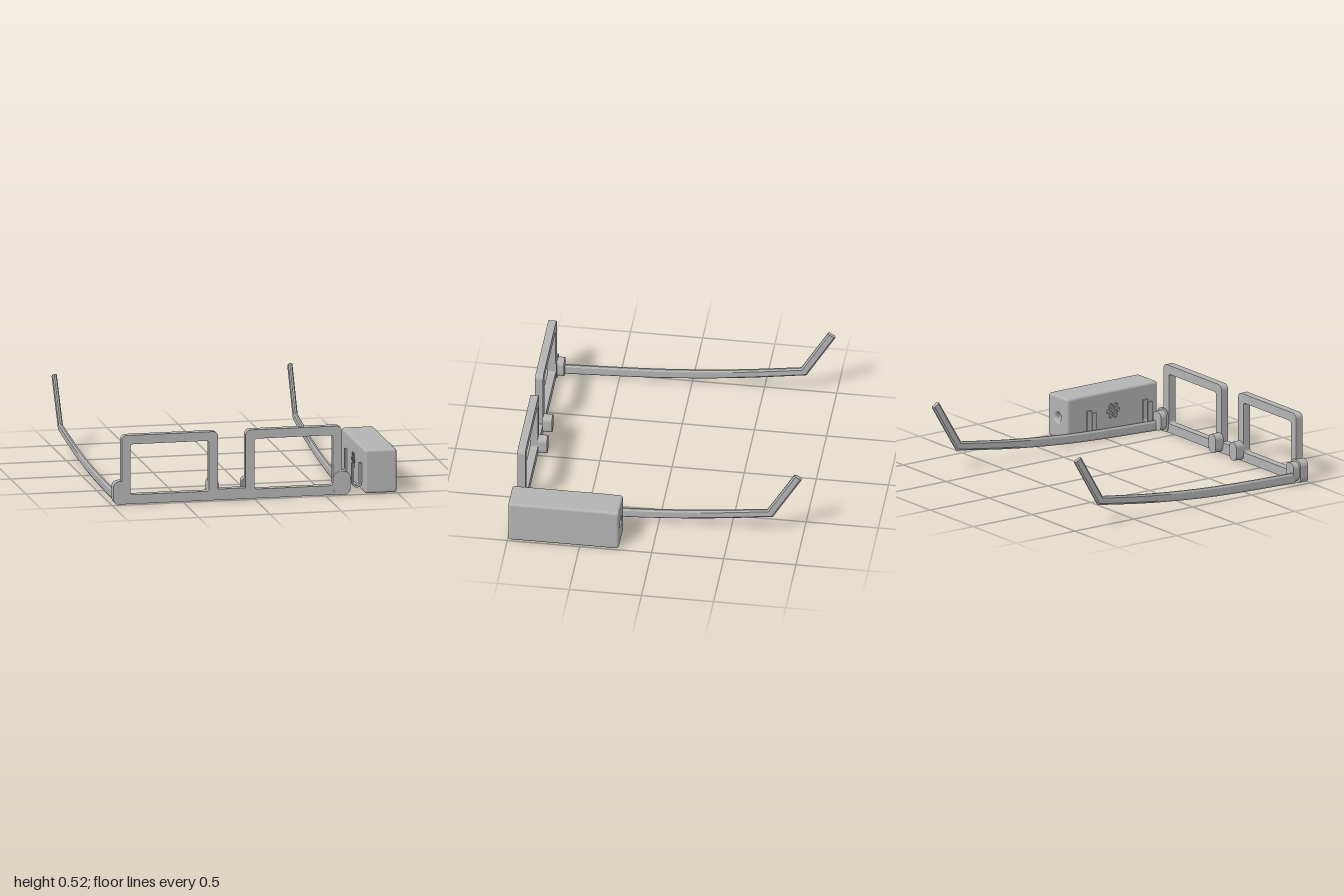
import * as THREE from 'three';
import { RoundedBoxGeometry } from 'three/addons/geometries/RoundedBoxGeometry.js';

const grey = new THREE.MeshStandardMaterial({ color: 0xb4b4b4 });
grey.name = 'grey plastic';

const CENTRE = -0.158; // middle of the spectacles; the module sits beside them

function add(parent, name, geometry, x = 0, y = 0, z = 0) {
  const mesh = new THREE.Mesh(geometry, grey);
  mesh.name = name;
  mesh.position.set(x, y, z);
  parent.add(mesh);
  return mesh;
}

// Rounded rectangle outline, usable as a shape or a hole
function roundRect(path, x0, y0, x1, y1, r) {
  path.moveTo(x0 + r, y0);
  path.lineTo(x1 - r, y0);
  path.absarc(x1 - r, y0 + r, r, -Math.PI / 2, 0);
  path.lineTo(x1, y1 - r);
  path.absarc(x1 - r, y1 - r, r, 0, Math.PI / 2);
  path.lineTo(x0 + r, y1);
  path.absarc(x0 + r, y1 - r, r, Math.PI / 2, Math.PI);
  path.lineTo(x0, y0 + r);
  path.absarc(x0 + r, y0 + r, r, Math.PI, Math.PI * 1.5);
  return path;
}

// Rounded block extruded along z, centred in x and y
function block(w, h, d, r) {
  const s = roundRect(new THREE.Shape(), -w / 2, -h / 2, w / 2, h / 2, r);
  return new THREE.ExtrudeGeometry(s, { depth: d, bevelEnabled: false, curveSegments: 6 });
}

// Both rims and the low bridge in one outline, x measured from the centre
function frontFrame() {
  const s = new THREE.Shape();
  const [o, i, top, r] = [0.772, 0.097, 0.487, 0.035];
  s.moveTo(-o, 0.005);
  s.lineTo(o, 0.005);
  s.lineTo(o, top - r);
  s.absarc(o - r, top - r, r, 0, Math.PI / 2);
  s.lineTo(i + r, top);
  s.absarc(i + r, top - r, r, Math.PI / 2, Math.PI);
  s.lineTo(i, 0.082);
  s.lineTo(-i, 0.082);
  s.lineTo(-i, top - r);
  s.absarc(-i - r, top - r, r, 0, Math.PI / 2);
  s.lineTo(-o + r, top);
  s.absarc(-o + r, top - r, r, Math.PI / 2, Math.PI);
  s.lineTo(-o, 0.005);
  for (const x of [-0.71, 0.16])
    s.holes.push(roundRect(new THREE.Path(), x, 0.07, x + 0.55, 0.424, 0.018));
  return new THREE.ExtrudeGeometry(s, { depth: 0.055, bevelEnabled: false, curveSegments: 6 });
}

// Temple arm: an eight-sided section swept along a rising curve with a sharp ear bend
function templeArm(side) {
  const curve = new THREE.SplineCurve([[0.9, 0.045], [0.23, 0.068], [-0.3, 0.113], [-0.775, 0.178]]
    .map(p => new THREE.Vector2(...p)));
  const path = [...curve.getPoints(12), new THREE.Vector2(-0.968, 0.503)];
  const last = path.length - 1;
  const section = [[-0.4, -1], [0.4, -1], [1, -0.62], [1, 0.62], [0.4, 1], [-0.4, 1], [-1, 0.62], [-1, -0.62]];
  const n = section.length;
  const pos = [], index = [];
  path.forEach((p, k) => {
    const a = p.clone().sub(path[Math.max(k - 1, 0)]).normalize();
    const b = path[Math.min(k + 1, last)].clone().sub(p).normalize();
    const t = a.clone().add(b).normalize();
    const miter = k > 0 && k < last ? 1 / Math.max(0.5, t.dot(a)) : 1;
    const h = (0.037 - 0.007 * k / last) * miter;
    const x = side * (0.799 + 0.028 * (0.9 - p.x) / 1.87);
    for (const [u, v] of section)
      pos.push(x + u * 0.0145, p.y - t.x * v * h, p.x + t.y * v * h);
  });
  for (let k = 0; k < last; k++)
    for (let j = 0; j < n; j++) {
      const a = k * n + j, b = k * n + (j + 1) % n;
      index.push(a, a + n, b, b, a + n, b + n);
    }
  for (let j = 1; j < n - 1; j++) {
    index.push(0, j, j + 1);
    index.push(last * n, last * n + j + 1, last * n + j);
  }
  const g = new THREE.BufferGeometry();
  g.setAttribute('position', new THREE.Float32BufferAttribute(pos, 3));
  g.setIndex(index);
  const flat = g.toNonIndexed();
  flat.computeVertexNormals();
  return flat;
}

// U-shaped spring clip seen along z
function clip() {
  const s = new THREE.Shape();
  s.moveTo(-0.034, 0.2);
  s.lineTo(-0.034, 0.065);
  s.absarc(0, 0.065, 0.034, Math.PI, Math.PI * 2);
  s.lineTo(0.034, 0.2);
  s.lineTo(0.02, 0.2);
  s.lineTo(0.02, 0.065);
  s.absarc(0, 0.065, 0.02, Math.PI * 2, Math.PI, true);
  s.lineTo(-0.02, 0.2);
  return new THREE.ExtrudeGeometry(s, { depth: 0.036, bevelEnabled: false, curveSegments: 12 });
}

export function createModel() {
  const model = new THREE.Group();
  model.name = 'glasses with side module';

  const glasses = new THREE.Group();
  glasses.name = 'glasses';
  glasses.position.x = CENTRE;
  model.add(glasses);
  add(glasses, 'frontFrame', frontFrame(), 0, 0, 0.93);

  for (const side of [-1, 1]) {
    const tag = side > 0 ? 'left' : 'right';
    add(glasses, tag + 'EndPiece', block(0.118, 0.163, 0.064, 0.042), side * 0.773, 0.0845, 0.924);
    add(glasses, tag + 'Hinge', block(0.09, 0.135, 0.055, 0.04), side * 0.773, 0.0845, 0.875);
    add(glasses, tag + 'NosePad', block(0.08, 0.13, 0.068, 0.035), side * 0.121, 0.079, 0.867);
    add(glasses, tag + 'Temple', templeArm(side));
  }

  // Side module: solid front body, and a rear shell with a round opening
  const box = new THREE.Group();
  box.name = 'sideModule';
  model.add(box);
  const [cx, cy, w, h, bevel] = [0.886, 0.158, 0.224, 0.306, 0.018];
  add(box, 'moduleBody', new RoundedBoxGeometry(w, h, 0.71, 4, bevel), cx, cy, 0.641);
  const shell = roundRect(new THREE.Shape(), -w / 2 + bevel, -h / 2 + bevel, w / 2 - bevel, h / 2 - bevel, 0.004);
  shell.holes.push(new THREE.Path().absarc(0, 0, 0.044 + 0.005, 0, Math.PI * 2));
  const shellGeometry = new THREE.ExtrudeGeometry(shell, {
    depth: 0.2, bevelSize: bevel, bevelThickness: bevel, bevelSegments: 4, curveSegments: 16,
  });
  add(box, 'moduleRearShell', shellGeometry, cx, cy, 0.229 + bevel);

  for (const z of [0.39, 0.865]) add(box, 'clip', clip(), 0.738, 0, z);

  // Small raised details: switch slot underneath, vent ring on the inner side
  add(box, 'switchSlot', new RoundedBoxGeometry(0.035, 0.006, 0.12, 2, 0.002), 0.93, 0.005, 0.53);
  const vent = new THREE.Group();
  vent.name = 'vent';
  vent.position.set(cx - w / 2, 0.165, 0.62);
  vent.rotation.y = -Math.PI / 2;
  box.add(vent);
  for (let i = 0; i < 6; i++) {
    const a = i * Math.PI / 3;
    const ring = new THREE.TorusGeometry(0.014, 0.004, 6, 14);
    add(vent, 'ventRing', ring, Math.cos(a) * 0.04, Math.sin(a) * 0.04, 0);
  }
  add(vent, 'ventCentre', new THREE.TorusGeometry(0.014, 0.004, 6, 14));
  return model;
}
